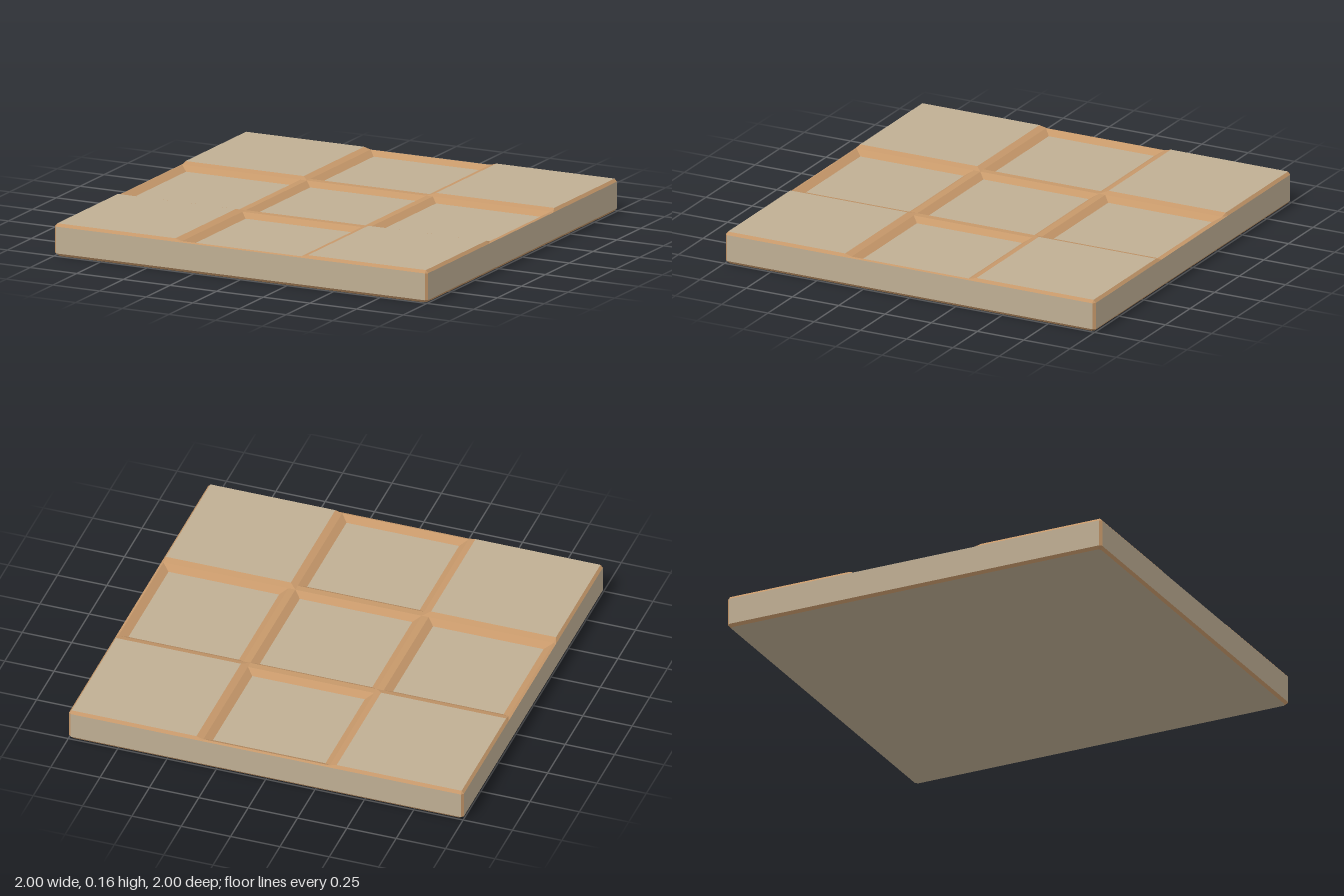
import * as THREE from 'three';

const CORNER_Y = 0.16, RIM_Y = 0.15, FLOOR_Y = 0.128, EDGE_Y = 0.146, BEVEL = 0.012;

// Grid lines that bound the ridges, slopes and panels
const HALF = [0.285, 0.32, 0.355, 0.39, 0.95, 0.988, 1];
const LINES = [...HALF.map((v) => -v).reverse(), ...HALF];

// Height of the relief at a grid corner
function heightAt(x, z) {
  const a = Math.min(Math.abs(x), Math.abs(z));
  const b = Math.max(Math.abs(x), Math.abs(z));
  if (b === 1) return EDGE_Y;
  if (a >= 0.355) return CORNER_Y;
  if (a >= 0.32) return RIM_Y;
  return b === 0.32 || b === 0.355 || b === 0.988 ? RIM_Y : FLOOR_Y;
}

function gridPoint(x, z) {
  // The outermost corners sit on the slab's cut corners
  const k = Math.abs(x) === 1 && Math.abs(z) === 1 ? 1 - BEVEL / 2 : 1;
  return [x * k, heightAt(x, z), z * k];
}

export function createModel() {
  const stone = new THREE.MeshStandardMaterial({ color: 0xbfae93 });
  stone.name = 'sandstone';
  const trim = new THREE.MeshStandardMaterial({ color: 0xc6986a });
  trim.name = 'clay brown';

  const parts = {
    cornerTiles: { material: stone, points: [] },
    recessedPanels: { material: stone, points: [] },
    grooveSlopes: { material: trim, points: [] },
    slabSides: { material: stone, points: [] },
    slabBevels: { material: trim, points: [] },
    slabBase: { material: stone, points: [] },
  };
  const quad = (part, a, b, c, d) => parts[part].points.push(...a, ...b, ...c, ...a, ...c, ...d);

  // Top relief: four raised corner tiles and five sunken panels
  for (let i = 0; i < LINES.length - 1; i++) {
    for (let j = 0; j < LINES.length - 1; j++) {
      const [x0, x1, z0, z1] = [LINES[i], LINES[i + 1], LINES[j], LINES[j + 1]];
      const c = [gridPoint(x0, z0), gridPoint(x0, z1), gridPoint(x1, z1), gridPoint(x1, z0)];
      const h = c.map((p) => p[1]);
      const flat = h.every((y) => y === h[0]);
      let part = 'grooveSlopes';
      if (flat && h[0] === CORNER_Y) part = 'cornerTiles';
      if (flat && h[0] === FLOOR_Y) part = 'recessedPanels';
      // Fold the quad along the diagonal that makes a clean mitre
      const turn = h[0] === h[2] && h[1] !== h[3] ? 1 : 0;
      quad(part, ...c.map((_, k) => c[(k + turn) % 4]));
    }
  }

  // Slab body: square outline with cut corners
  const n = 1 - BEVEL;
  const outline = [[1, n], [1, -n], [n, -1], [-n, -1], [-1, -n], [-1, n], [-n, 1], [n, 1]];
  const ring = (y, scale) => outline.map(([x, z]) => [x * scale, y, z * scale]);
  const bottom = ring(0, n), low = ring(0.014, 1), high = ring(EDGE_Y, 1);
  for (let i = 0; i < 8; i++) {
    const j = (i + 1) % 8;
    quad(i % 2 ? 'slabBevels' : 'slabSides', low[i], low[j], high[j], high[i]);
    quad('slabBevels', bottom[i], bottom[j], low[j], low[i]);
    parts.slabBase.points.push(0, 0, 0, ...bottom[j], ...bottom[i]);
  }

  const group = new THREE.Group();
  group.name = 'floorTile';
  for (const [name, { material, points }] of Object.entries(parts)) {
    const geometry = new THREE.BufferGeometry();
    geometry.setAttribute('position', new THREE.Float32BufferAttribute(points, 3));
    geometry.computeVertexNormals();
    const mesh = new THREE.Mesh(geometry, material);
    mesh.name = name;
    group.add(mesh);
  }
  return group;
}
